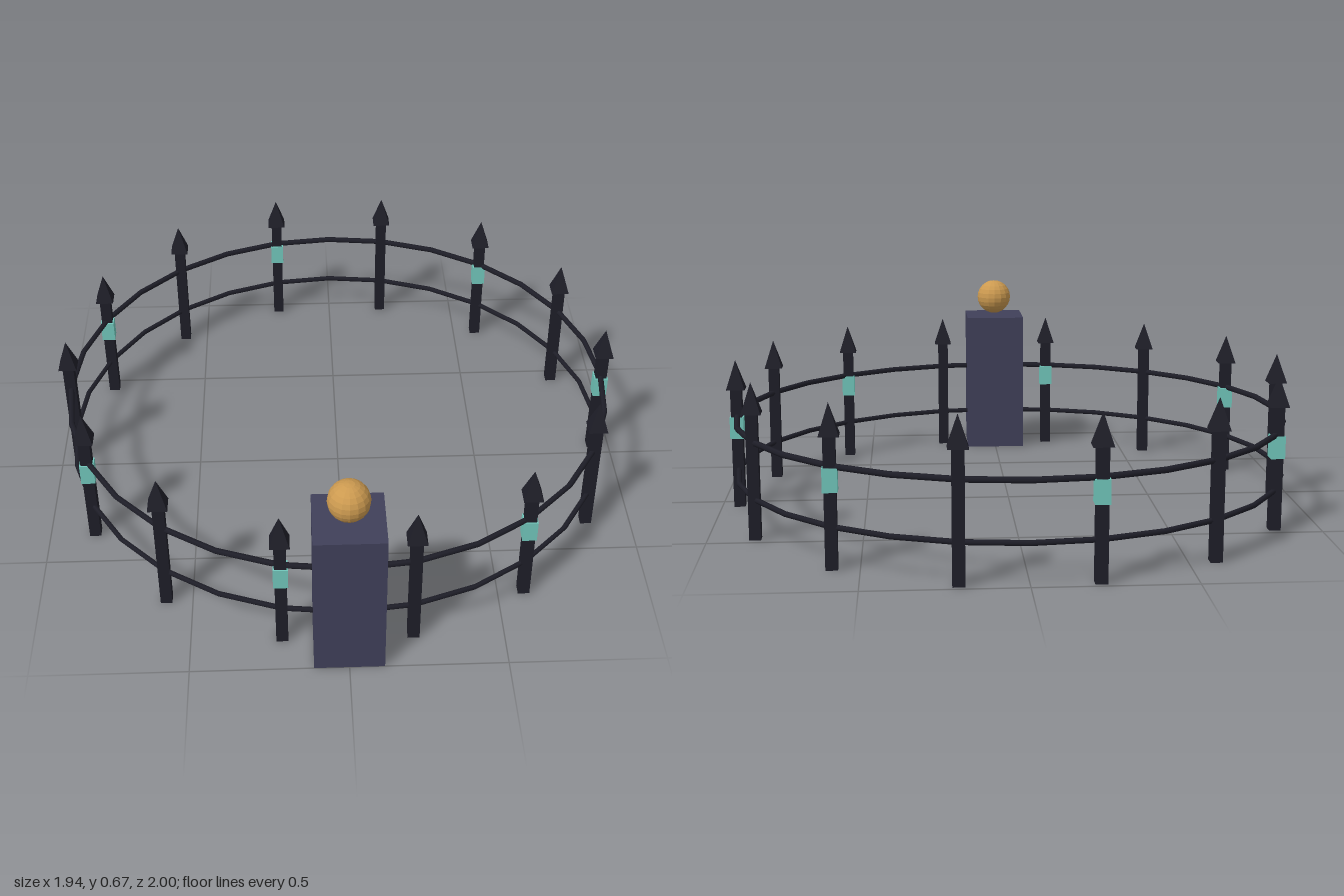
import * as THREE from 'three';

const RING_RADIUS = 0.9395;
const RING_Z = -0.0505;
const POSTS = 14;

const material = (name, color, flatShading = false) => {
  const m = new THREE.MeshStandardMaterial({ color, flatShading });
  m.name = name;
  return m;
};

export function createModel() {
  const iron = material('dark iron', 0x1e1e28);
  const stone = material('slate stone', 0x40405a);
  const brass = material('brass', 0xcc9a50, true);
  const teal = material('teal', 0x72c8bc);

  const model = new THREE.Group();
  model.name = 'ringFence';

  const add = (parent, name, geometry, mat, x, y, z) => {
    const mesh = new THREE.Mesh(geometry, mat);
    mesh.name = name;
    mesh.position.set(x, y, z);
    parent.add(mesh);
    return mesh;
  };

  // Shared post geometries, all square to the axes
  const shaft = new THREE.BoxGeometry(0.038, 0.42, 0.038);
  const spike = new THREE.ConeGeometry(0.0445, 0.1, 4).toNonIndexed();
  spike.rotateY(Math.PI / 4);
  spike.computeVertexNormals();
  const band = new THREE.BoxGeometry(0.047, 0.075, 0.047);

  // Ring of spiked posts, every other one with a band
  for (let i = 0; i < POSTS; i++) {
    const angle = ((i + 0.5) / POSTS) * Math.PI * 2;
    const post = new THREE.Group();
    post.name = 'fencePost';
    post.position.set(RING_RADIUS * Math.sin(angle), 0, RING_Z + RING_RADIUS * Math.cos(angle));
    add(post, 'shaft', shaft, iron, 0, 0.21, 0);
    add(post, 'spike', spike, iron, 0, 0.464, 0);
    if (i % 2 === 1) add(post, 'band', band, teal, 0, 0.28, 0);
    model.add(post);
  }

  // Two round rails
  for (const [name, y, r] of [['upperRail', 0.32, 0.01], ['lowerRail', 0.132, 0.009]]) {
    const rail = new THREE.TorusGeometry(RING_RADIUS, r, 6, POSTS * 2);
    rail.rotateX(Math.PI / 2);
    add(model, name, rail, iron, 0, y, RING_Z);
  }

  // Front pillar with a ball on top
  const pillarZ = RING_Z + RING_RADIUS;
  add(model, 'pillar', new THREE.BoxGeometry(0.222, 0.528, 0.222), stone, 0, 0.264, pillarZ);
  add(model, 'pillarBall', new THREE.SphereGeometry(0.066, 16, 12), brass, 0, 0.6, pillarZ);

  return model;
}
